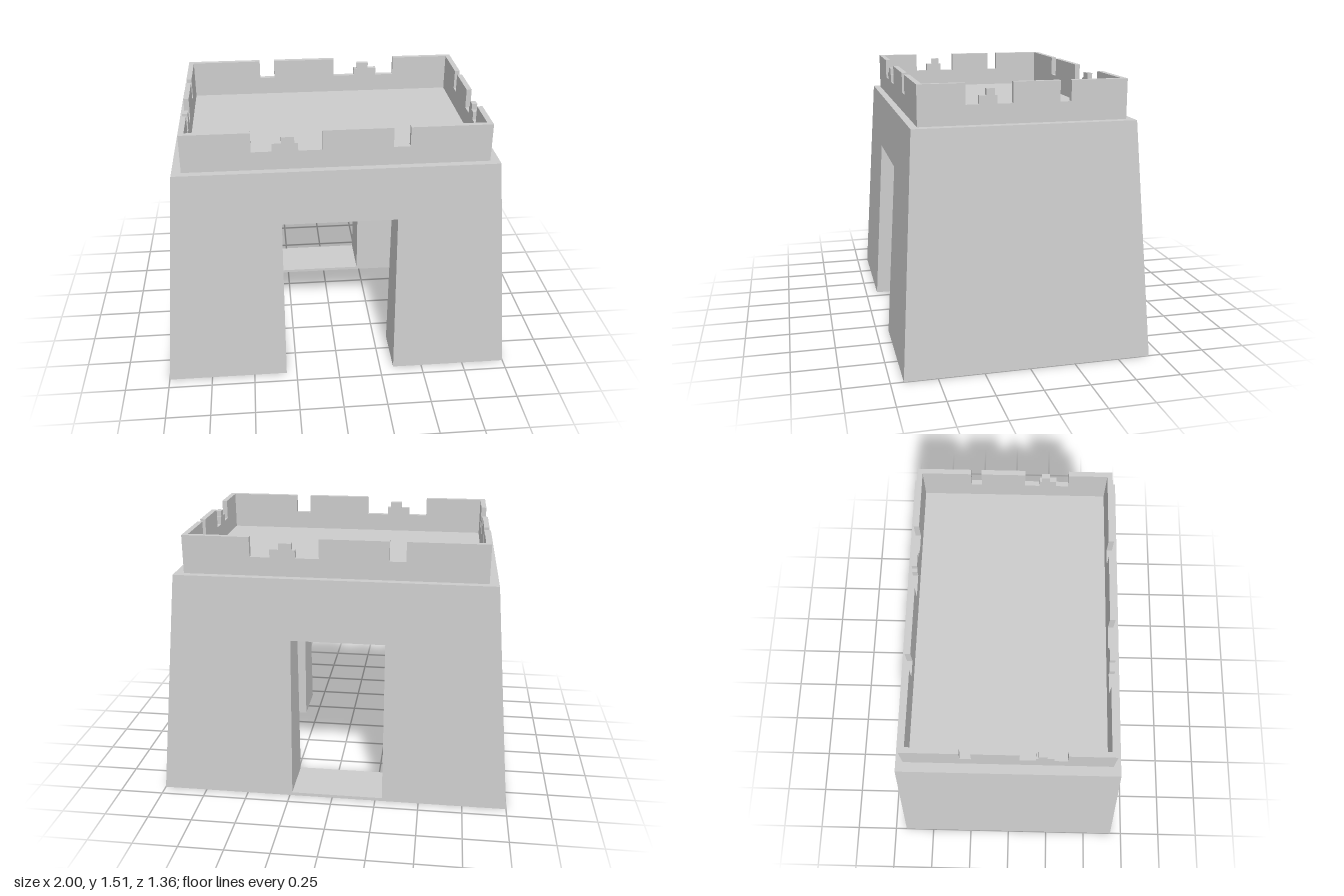
import * as THREE from 'three';

const H = 1.3; // height of the battered walls
const at = (bottom, top) => (y) => bottom + (top - bottom) * y / H;

// Leaning planes: outside faces and room faces, as functions of height
const out = { l: at(-1, -0.885), r: at(1, 0.885), f: at(0.68, 0.6), b: at(-0.68, -0.6) };
const room = { l: at(-0.71, -0.67), r: at(0.71, 0.74), f: at(0.39, 0.425), b: at(-0.39, -0.415) };

const finish = (geometry) => {
  const g = geometry.index ? geometry.toNonIndexed() : geometry;
  g.computeVertexNormals();
  return g;
};

// Six-sided block between leaning planes
function leaningBlock(l, r, b, f, y0, y1) {
  const g = new THREE.BoxGeometry(1, 1, 1);
  const p = g.attributes.position;
  for (let i = 0; i < p.count; i++) {
    const y = p.getY(i) > 0 ? y1 : y0;
    p.setXYZ(i, p.getX(i) > 0 ? r(y) : l(y), y, p.getZ(i) > 0 ? f(y) : b(y));
  }
  return finish(g);
}

// Extruded wall outline whose two faces are moved onto leaning planes
function leaningWall(shape, b, f) {
  const g = new THREE.ExtrudeGeometry(shape, { depth: 1, bevelEnabled: false });
  const p = g.attributes.position;
  for (let i = 0; i < p.count; i++) {
    const y = p.getY(i);
    p.setZ(i, p.getZ(i) > 0.5 ? f(y) : b(y));
  }
  return finish(g);
}

const outline = (points) => new THREE.Shape(points.map(([x, y]) => new THREE.Vector2(x, y)));

// Parapet outline: two gaps, the wide one holding a small stepped merlon
const SILL = 1.405, STEP = 1.45, PEAK = 1.485, TOP = 1.515;
function parapetOutline(start, end, wide, step, peak, narrow) {
  return outline([
    [start, H], [end, H], [end, TOP],
    [narrow[1], TOP], [narrow[1], SILL], [narrow[0], SILL], [narrow[0], TOP],
    [wide[1], TOP], [wide[1], SILL],
    [step[1], SILL], [step[1], STEP], [peak[1], STEP], [peak[1], PEAK],
    [peak[0], PEAK], [peak[0], STEP], [step[0], STEP], [step[0], SILL],
    [wide[0], SILL], [wide[0], TOP], [start, TOP],
  ]);
}

export function createModel() {
  const group = new THREE.Group();
  const stone = new THREE.MeshStandardMaterial({ color: 0xcccccc });
  stone.name = 'stone';
  const add = (name, geometry) => {
    const mesh = new THREE.Mesh(geometry, stone);
    mesh.name = name;
    group.add(mesh);
    return mesh;
  };

  // Front wall with a doorway open to the ground
  add('frontWall', leaningWall(outline([
    [-1, 0], [-0.31, 0], [-0.31, 0.99], [0.33, 0.99], [0.33, 0],
    [1, 0], [0.885, H], [-0.885, H],
  ]), room.f, out.f));

  // Back wall with an opening above a low sill
  const back = outline([[-1, 0], [1, 0], [0.885, H], [-0.885, H]]);
  back.holes.push(outline([[-0.29, 0.018], [-0.29, 0.95], [0.235, 0.95], [0.235, 0.018]]));
  add('backWall', leaningWall(back, out.b, room.b));

  // Side walls between front and back
  add('leftWall', leaningBlock(room.r, out.r, room.b, room.f, 0, H));
  add('rightWall', leaningBlock(out.l, room.l, room.b, room.f, 0, H));

  // Roof slab closing the room
  add('roofSlab', leaningBlock(room.l, room.r, room.b, room.f, 1.06, H));

  // Front and back parapets, the back one turned around
  const thick = 0.03;
  const longSide = new THREE.ExtrudeGeometry(
    parapetOutline(-0.833, 0.833, [-0.46, -0.08], [-0.35, -0.21], [-0.3, -0.23], [0.3, 0.39]),
    { depth: thick, bevelEnabled: false });
  add('frontParapet', longSide).position.z = 0.53;
  const backParapet = add('backParapet', longSide);
  backParapet.rotation.y = Math.PI;
  backParapet.position.z = -0.53;

  // Side parapets, outline running from front to back
  const shortSide = new THREE.ExtrudeGeometry(
    parapetOutline(-0.53, 0.53, [-0.31, -0.06], [-0.24, -0.145], [-0.203, -0.157], [0.192, 0.252]),
    { depth: thick, bevelEnabled: false });
  for (const [name, x] of [['leftParapet', 0.803], ['rightParapet', -0.833]]) {
    const side = add(name, shortSide);
    side.rotation.y = Math.PI / 2;
    side.position.x = x;
  }

  return group;
}
